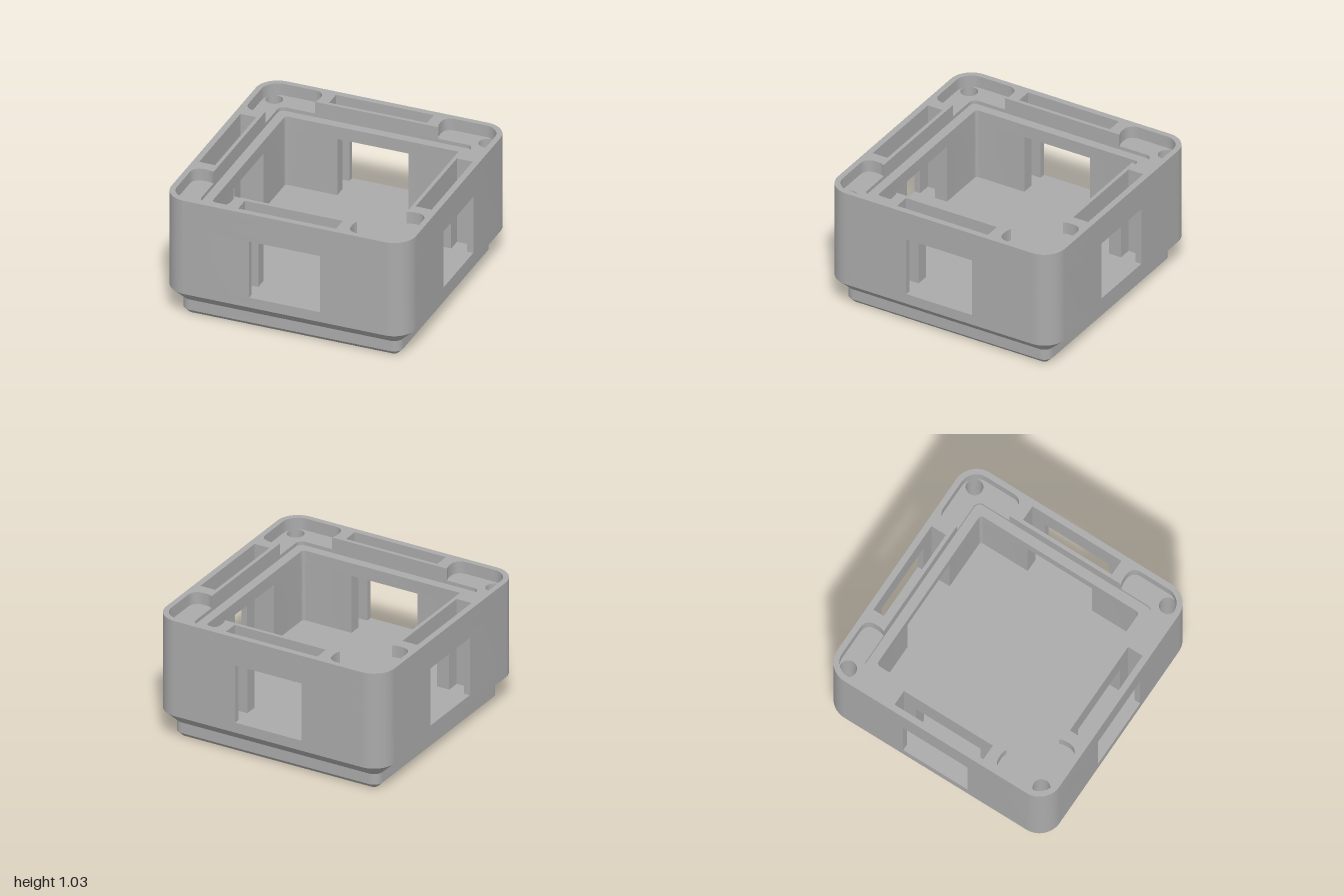
import * as THREE from 'three';
import { toCreasedNormals } from 'three/addons/utils/BufferGeometryUtils.js';

const SEG = 12;
// heights of the floor, window head, inner ledge, corner pocket floor and rim
const FLOOR = 0.315, HEAD = 0.8, LEDGE = 0.905, POCKET = 0.935, TOP = 1.035;
const OUTER_R = 0.18, SCREW = 0.87;

function roundedSquare(h, r, Type = THREE.Shape) {
  const s = new Type();
  const c = h - r;
  s.moveTo(h, -c);
  s.absarc(c, c, r, 0, Math.PI / 2);
  s.absarc(-c, c, r, Math.PI / 2, Math.PI);
  s.absarc(-c, -c, r, Math.PI, Math.PI * 1.5);
  s.absarc(c, -c, r, Math.PI * 1.5, Math.PI * 2);
  return s;
}

function rectHole(x0, y0, x1, y1) {
  return new THREE.Path([[x0, y0], [x1, y0], [x1, y1], [x0, y1]].map(p => new THREE.Vector2(...p)));
}

// four plate slots near the sides
function slots() {
  return [
    rectHole(-0.4, 0.82, 0.4, 0.95), rectHole(-0.4, -0.95, 0.4, -0.82),
    rectHole(0.82, -0.4, 0.95, 0.4), rectHole(-0.95, -0.4, -0.82, 0.4),
  ];
}

function screwHole(x, y) {
  const p = new THREE.Path();
  p.absarc(x, y, 0.067, 0, Math.PI * 2);
  return p;
}

function screwHoles() {
  return [[1, 1], [1, -1], [-1, 1], [-1, -1]].map(([x, y]) => screwHole(x * SCREW, y * SCREW));
}

// cavity outline merged with the four corner pockets
function rimOpening() {
  const p = new THREE.Path();
  for (let k = 0; k < 4; k++) {
    const a = -k * Math.PI / 2, c = Math.cos(a), s = Math.sin(a);
    const t = (x, y) => [x * c - y * s, x * s + y * c];
    if (k === 0) p.moveTo(...t(0.505, 0.79));
    else p.lineTo(...t(0.505, 0.79));
    p.quadraticCurveTo(...t(0.49, 0.815), ...t(0.49, 0.85));
    p.lineTo(...t(0.49, 0.875));
    p.quadraticCurveTo(...t(0.495, 0.95), ...t(0.57, 0.955));
    p.lineTo(...t(0.82, 0.955));
    p.absarc(...t(0.82, 0.82), 0.135, Math.PI / 2 + a, a, true);
    p.lineTo(...t(0.955, 0.57));
    p.quadraticCurveTo(...t(0.95, 0.495), ...t(0.875, 0.49));
    p.lineTo(...t(0.85, 0.49));
    p.quadraticCurveTo(...t(0.815, 0.49), ...t(0.79, 0.505));
  }
  return p;
}

// plan of one corner block between two windows
function cornerPlan() {
  const s = new THREE.Shape();
  s.moveTo(0.29, 0.715);
  s.lineTo(0.685, 0.715);
  s.quadraticCurveTo(0.715, 0.715, 0.715, 0.685);
  [[0.715, 0.29], [0.82, 0.29], [0.82, 0.4], [0.95, 0.4], [0.95, 0.29], [1, 0.29]]
    .forEach(q => s.lineTo(...q));
  s.absarc(1 - OUTER_R, 1 - OUTER_R, OUTER_R, 0, Math.PI / 2);
  [[0.29, 1], [0.29, 0.95], [0.4, 0.95], [0.4, 0.82], [0.29, 0.82]].forEach(q => s.lineTo(...q));
  s.holes.push(screwHole(SCREW, SCREW));
  return s;
}

// upright slab of a plan between two heights
function slab(shape, y0, y1) {
  const g = new THREE.ExtrudeGeometry(shape, { depth: y1 - y0, bevelEnabled: false, curveSegments: SEG });
  g.rotateX(-Math.PI / 2).translate(0, y0, 0);
  return toCreasedNormals(g, 0.5);
}

// stepped, chamfered solid lofted through rounded squares
function loftBase(sections) {
  const rings = sections.map(([y, h, r]) =>
    roundedSquare(h, r).getPoints(SEG).map(p => [p.x, y, -p.y]));
  const pos = [];
  const n = rings[0].length;
  const tri = (...v) => v.forEach(p => pos.push(...p));
  for (let j = 0; j < rings.length - 1; j++) {
    for (let i = 0; i < n; i++) {
      const k = (i + 1) % n, lo = rings[j], hi = rings[j + 1];
      tri(lo[i], lo[k], hi[k]);
      tri(lo[i], hi[k], hi[i]);
    }
  }
  const bottom = rings[0], top = rings[rings.length - 1];
  for (let i = 1; i < n - 1; i++) {
    tri(bottom[0], bottom[i + 1], bottom[i]);
    tri(top[0], top[i], top[i + 1]);
  }
  const g = new THREE.BufferGeometry();
  g.setAttribute('position', new THREE.Float32BufferAttribute(pos, 3));
  return toCreasedNormals(g, 0.5);
}

export function createModel() {
  const group = new THREE.Group();
  group.name = 'openBox';
  const grey = new THREE.MeshStandardMaterial({ color: 0xaaaaaa });
  grey.name = 'grey';
  const add = (name, geometry) => {
    const m = new THREE.Mesh(geometry, grey);
    m.name = name;
    group.add(m);
    return m;
  };

  // stepped foot and floor
  add('base', loftBase([
    [0, 0.855, 0.035], [0.04, 0.895, 0.075], [0.13, 0.895, 0.075],
    [0.23, 1, OUTER_R], [FLOOR, 1, OUTER_R],
  ]));

  // corner blocks, leaving a window in each side
  const corner = slab(cornerPlan(), FLOOR, HEAD);
  for (let k = 0; k < 4; k++) add('cornerBlock' + (k + 1), corner).rotation.y = k * Math.PI / 2;

  // wall rings above the windows
  const ring = (name, openings, y0, y1) => {
    const s = roundedSquare(1, OUTER_R);
    s.holes.push(...slots(), ...openings);
    add(name, slab(s, y0, y1));
  };
  ring('windowHead', [roundedSquare(0.715, 0.03, THREE.Path), ...screwHoles()], HEAD, LEDGE);
  ring('ledgeWall', [roundedSquare(0.79, 0.05, THREE.Path), ...screwHoles()], LEDGE, POCKET);
  ring('rim', [rimOpening()], POCKET, TOP);

  return group;
}
